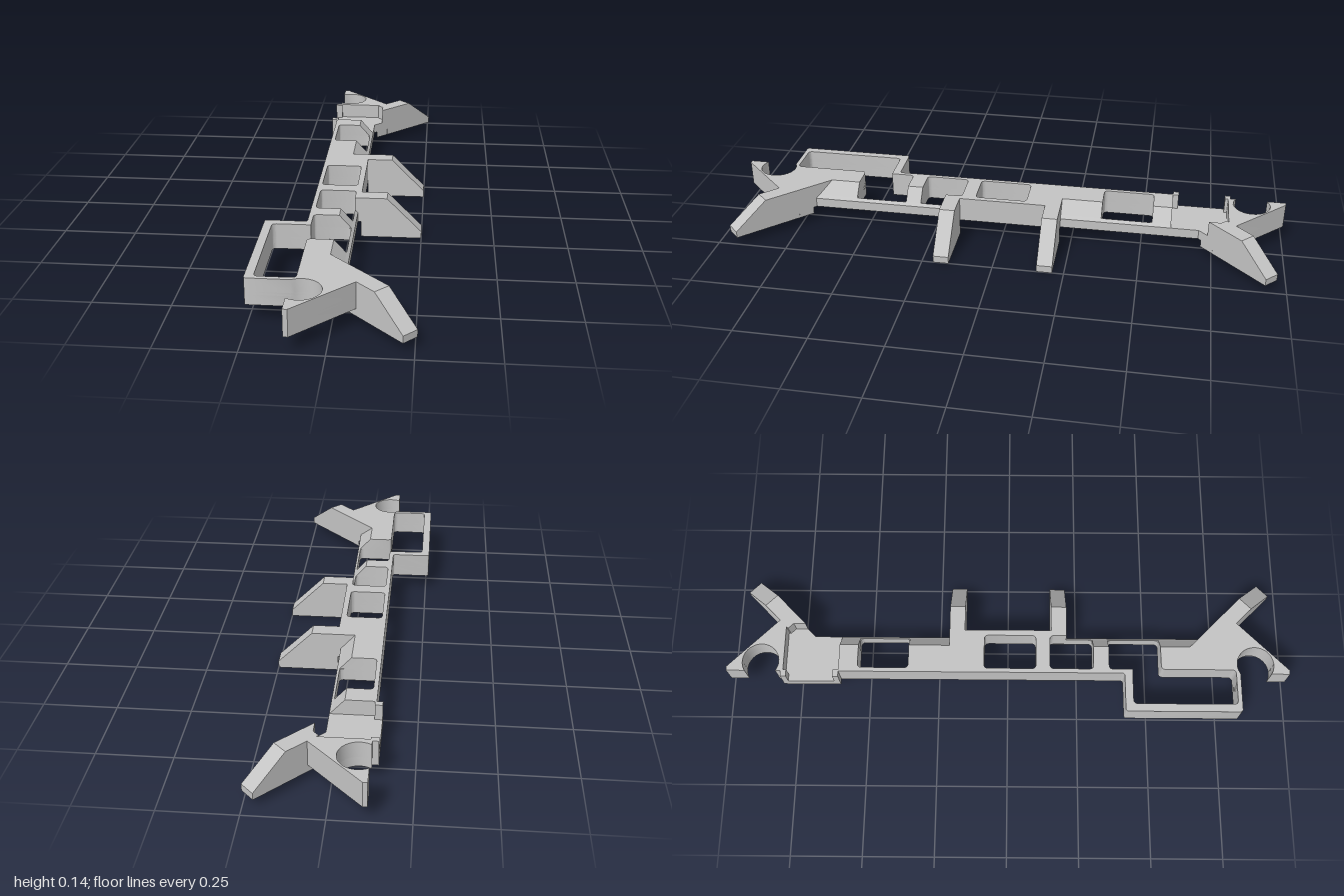
import * as THREE from 'three';
import { toCreasedNormals } from 'three/addons/utils/BufferGeometryUtils.js';

const FLOOR = 0.056, LEDGE = 0.09, SILL = 0.1, TOP = 0.145, R = 0.015;

// Closed path from [x, z, cornerRadius] points seen in plan
function trace(path, points) {
  const n = points.length;
  points.forEach(([x, z, r = 0], i) => {
    const toward = ([px, pz]) => {
      const d = Math.hypot(px - x, pz - z) || 1;
      return [x + (px - x) * r / d, -(z + (pz - z) * r / d)];
    };
    const a = toward(points[(i + n - 1) % n]), b = toward(points[(i + 1) % n]);
    if (i === 0) path.moveTo(...a); else path.lineTo(...a);
    if (r) path.quadraticCurveTo(x, -z, ...b);
  });
  path.closePath();
  return path;
}

// Horizontal slab; taper = [from, to] pulls the top edge at x = from inward
function slab(outline, holes, y0, y1, taper) {
  // Counter-clockwise outline, so that the hole walls face inward
  const shape = trace(new THREE.Shape(), [...outline].reverse());
  shape.holes = holes.map((h) => trace(new THREE.Path(), h));
  const geo = new THREE.ExtrudeGeometry(shape, { depth: y1 - y0, bevelEnabled: false, curveSegments: 5 });
  geo.rotateX(-Math.PI / 2).translate(0, y0, 0);
  if (taper) {
    const p = geo.attributes.position, [from, to] = taper;
    for (let i = 0; i < p.count; i++) {
      const z = p.getZ(i);
      if (p.getY(i) > y1 - 1e-4 && Math.abs(p.getX(i) - from) < 1e-4) {
        p.setX(i, to);
        if (z > 0.6) p.setZ(i, z - (from - to));
      }
    }
  }
  return toCreasedNormals(geo, 0.5);
}

// Upright plate cut from an (x, y) profile, centred on its thickness
function plate(profile, depth) {
  const shape = new THREE.Shape(profile.map(([x, y]) => new THREE.Vector2(x, y)));
  return new THREE.ExtrudeGeometry(shape, { depth, bevelEnabled: false }).translate(0, 0, -depth / 2);
}

// Round socket bitten into the left edge, listed in order of falling z
function bite(zc) {
  const a = Math.atan2(0.055, -0.035), pts = [];
  for (let i = 0; i <= 20; i++) {
    const t = a - (2 * a * i) / 20;
    pts.push([-0.085 + 0.065 * Math.cos(t), zc + 0.065 * Math.sin(t)]);
  }
  return pts;
}

export function createModel() {
  const model = new THREE.Group();
  const gray = new THREE.MeshStandardMaterial({ color: 0xc4c4c4 });
  gray.name = 'plainGray';
  const add = (name, geo) => {
    const mesh = new THREE.Mesh(geo, gray);
    mesh.name = name;
    model.add(mesh);
    return mesh;
  };

  // Shared outline pieces
  const middleEdge = [[0.03, -0.21], [0.04, -0.21], [0.04, 0.21], [0.03, 0.21], [0.03, 0.7]];
  const frontEnd = [
    [0.11, 0.78], [0.07, 0.825], [-0.105, 1], [-0.12, 1], ...bite(0.88),
    [-0.26, 0.825, 0.01], [-0.26, 0.415, 0.01], [-0.12, 0.415, 0.01],
  ];
  const backTip = [[-0.12, -1], [-0.105, -1], [0.07, -0.825], [0.11, -0.78]];

  // Windows, the last one joined to the inside of the side bracket
  const window = (z0, z1) => [[-0.105, z0, R], [0.02, z0, R], [0.02, z1, R], [-0.105, z1, R]];
  const bracketInside = [[-0.232, 0.443, R], [-0.232, 0.81, R], [-0.105, 0.81, R]];
  const windows = [
    window(-0.535, -0.355), window(-0.085, 0.1), window(0.15, 0.305),
    [[-0.105, 0.36, R], [-0.105, 0.443], ...bracketInside, [-0.105, 0.545, R], [0.02, 0.545, R], [0.02, 0.36, R]],
  ];

  // Body base and the thin sill that runs past the windows
  add('bodyBase', slab([
    ...backTip, [0.03, -0.7], ...middleEdge, ...frontEnd,
    [-0.12, -0.602], [-0.14, -0.602], [-0.14, -0.8], [-0.12, -0.8], ...bite(-0.88),
  ], windows, FLOOR, LEDGE));
  add('bodySill', slab([[-0.12, -0.602], [0.03, -0.602], ...middleEdge, ...frontEnd],
    windows, LEDGE, SILL, [0.03, 0.02]));

  // Body top: chamfered rear and front around a square middle
  const chamfer = [0.02, -0.02];
  add('bodyTopRear', slab([
    [-0.12, -0.602], [0.02, -0.602], [0.02, -0.535], [-0.105, -0.535, R],
    [-0.105, -0.355, R], [0.02, -0.355], [0.02, -0.21], [-0.12, -0.21],
  ], [], SILL, TOP, chamfer));
  add('bodyTopMiddle', slab([
    [-0.12, -0.21], [0.04, -0.21], [0.04, 0.21], [0.02, 0.21], [0.02, 0.15, R],
    [-0.105, 0.15, R], [-0.105, 0.21], [-0.12, 0.21],
  ], [windows[1]], SILL, TOP));
  add('bodyTopFront', slab([
    [-0.12, 0.21], [-0.105, 0.21], [-0.105, 0.305, R], [0.02, 0.305],
    [0.02, 0.36], [-0.105, 0.36, R], [-0.105, 0.443], ...bracketInside,
    [-0.105, 0.545, R], [0.02, 0.545], [0.02, 0.69], ...frontEnd,
  ], [], SILL, TOP, chamfer));

  // Rear socket block beyond the recess, reaching round to the leg
  add('rearSocket', slab([...backTip, [0.06, -0.73], [0.06, -0.798], [-0.12, -0.798], ...bite(-0.88)],
    [], LEDGE, TOP));

  // Small ribs at both ends of the recess
  for (const z of [-0.797, -0.612]) {
    add('recessRib', new THREE.BoxGeometry(0.025, TOP - FLOOR, 0.02))
      .position.set(-0.1275, (TOP + FLOOR) / 2, z);
  }

  // Straight feet
  const foot = [[0.021, FLOOR], [0.04, FLOOR], [0.04, 0], [0.25, 0], [0.25, 0.025], [0.13, TOP], [0.021, TOP]];
  for (const side of [1, -1]) {
    add('straightFoot', plate(foot, 0.055)).position.z = side * 0.1825;
  }

  // Diagonal legs, each with a wedge squaring off its inner end below the body
  const legProfile = [[0.016, 0.031], [0.263, 0.031], [0.263, 0.055], [0.14, TOP], [0.016, TOP]];
  for (const side of [1, -1]) {
    const leg = add('diagonalLeg', plate(legProfile, 0.057));
    leg.position.set(0.05, 0, side * 0.76);
    leg.rotation.y = -side * Math.PI / 4;
    const wedge = [[0.04, 0.71], [0.081, 0.751], [0.041, 0.791]].map(([x, z]) => [x, side * z]);
    add('legWedge', slab(side > 0 ? wedge : wedge.reverse(), [], 0.031, LEDGE));
  }
  return model;
}
